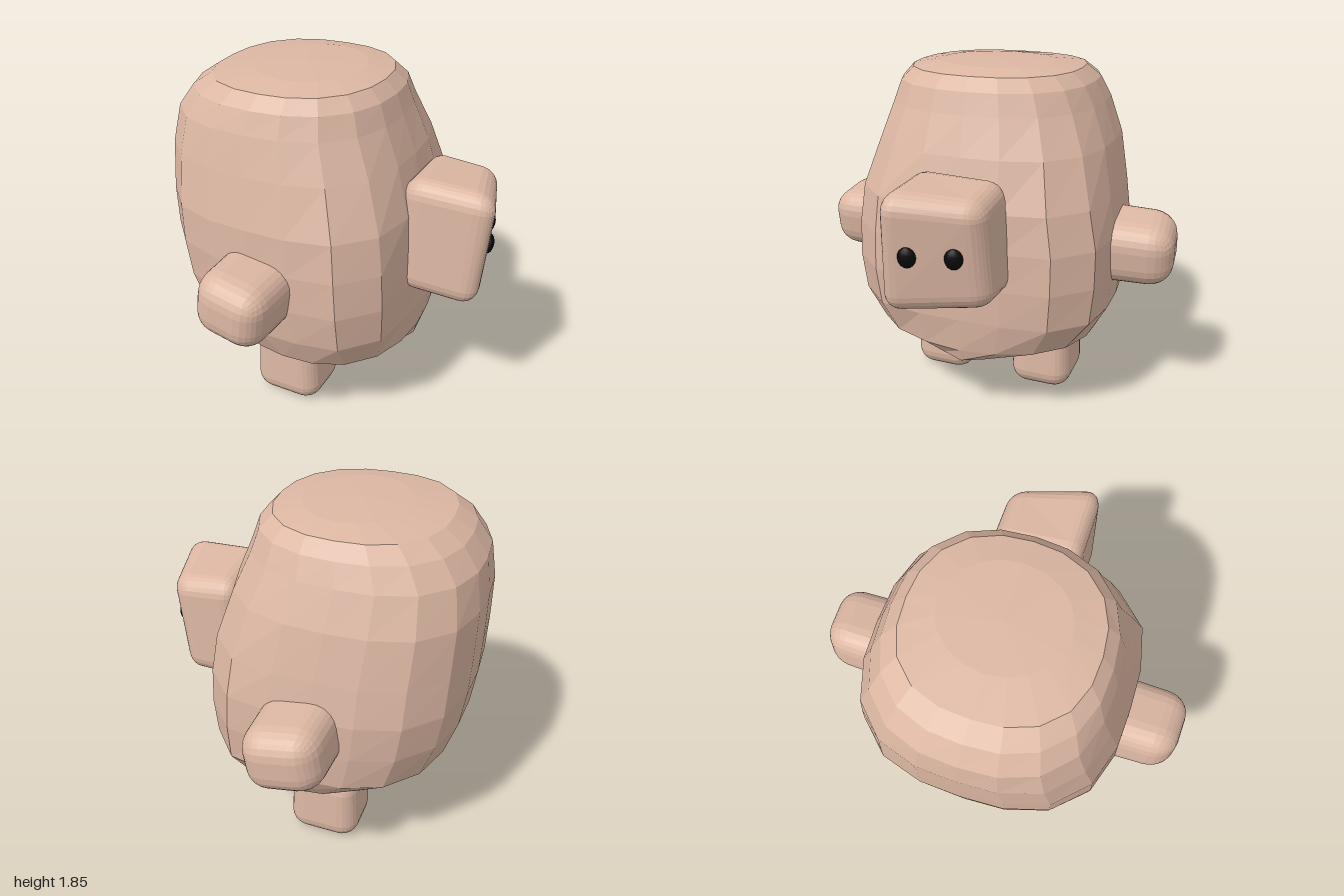
import * as THREE from 'three';
import { RoundedBoxGeometry } from 'three/addons/geometries/RoundedBoxGeometry.js';

const skin = new THREE.MeshStandardMaterial({ color: 0xdcb7a3, flatShading: true });
const black = new THREE.MeshStandardMaterial({ color: 0x0a0a0a });

// Move every vertex of a geometry by a rule
function bend(geometry, rule) {
  const p = geometry.attributes.position;
  const v = new THREE.Vector3();
  for (let i = 0; i < p.count; i++) {
    rule(v.fromBufferAttribute(p, i));
    p.setXYZ(i, v.x, v.y, v.z);
  }
  geometry.computeVertexNormals();
  return geometry;
}

function addMesh(parent, name, geometry, material, x = 0, y = 0, z = 0) {
  const mesh = new THREE.Mesh(geometry, material);
  mesh.name = name;
  mesh.position.set(x, y, z);
  parent.add(mesh);
  return mesh;
}

// Faceted loft through superellipse rings:
// [y, back x, front x, -z, +z, back power, front power, rise towards the sides]
function bodyGeometry() {
  const rings = [
    [0.34, -0.30, 0.43, -0.40, 0.40, 1.7, 1.5, 0.03],
    [0.41, -0.57, 0.45, -0.61, 0.62, 2.1, 2.5, 0.03],
    [0.60, -0.77, 0.47, -0.69, 0.68, 2.5, 3.8, 0],
    [0.80, -0.83, 0.475, -0.70, 0.70, 2.7, 4.2, 0],
    [1.00, -0.855, 0.47, -0.70, 0.70, 2.8, 4.0, 0],
    [1.20, -0.86, 0.46, -0.67, 0.69, 2.8, 3.4, 0],
    [1.45, -0.86, 0.395, -0.62, 0.63, 2.8, 2.8, 0],
    [1.64, -0.83, 0.325, -0.55, 0.58, 2.6, 2.5, 0],
    [1.75, -0.75, 0.29, -0.50, 0.54, 2.5, 2.4, 0],
    [1.815, -0.65, 0.23, -0.43, 0.48, 2.5, 2.3, 0],
    [1.84, -0.45, 0.10, -0.29, 0.33, 2, 2, 0],
  ];
  const sides = 20;
  const pos = [];
  const index = [];
  for (const [y, x0, x1, z0, z1, nBack, nFront, rise] of rings) {
    const cx = (x0 + x1) / 2, rx = (x1 - x0) / 2;
    const cz = (z0 + z1) / 2, rz = (z1 - z0) / 2;
    for (let i = 0; i < sides; i++) {
      const a = (i / sides) * Math.PI * 2;
      const c = Math.cos(a), s = Math.sin(a);
      const n = c > 0 ? nFront : nBack;
      const r = Math.pow(Math.abs(c) ** n + Math.abs(s) ** n, -1 / n);
      pos.push(cx + rx * r * c, y + rise * Math.abs(s), cz + rz * r * s);
    }
  }
  const bottom = pos.length / 3;
  pos.push(0.1, 0.32, 0, -0.2, 1.848, 0.02);
  const last = (rings.length - 1) * sides;
  for (let i = 0; i < sides; i++) {
    const j = (i + 1) % sides;
    for (let k = 0; k < last; k += sides) {
      index.push(k + i, k + sides + i, k + j, k + j, k + sides + i, k + sides + j);
    }
    index.push(bottom, i, j, bottom + 1, last + j, last + i);
  }
  const g = new THREE.BufferGeometry();
  g.setAttribute('position', new THREE.Float32BufferAttribute(pos, 3));
  g.setIndex(index);
  g.computeVertexNormals();
  return g;
}

export function createModel() {
  const model = new THREE.Group();
  model.name = 'creature';
  addMesh(model, 'body', bodyGeometry(), skin);

  // Wedge-shaped head, its face slanting to one side
  const head = new THREE.Group();
  head.name = 'head';
  model.add(head);
  const skull = bend(new RoundedBoxGeometry(0.4, 0.6, 0.52, 3, 0.09), (v) => {
    const front = (v.x + 0.2) / 0.4;
    const high = v.y / 0.3;
    v.z *= 1 - 0.1 * Math.max(0, high);
    v.x += front * (v.z * 0.28 + v.y * 0.1);
    v.y += 0.1 * v.z * high * (0.4 + 0.6 * front) - 0.03 * Math.max(0, high) * front ** 3;
  });
  addMesh(head, 'skull', skull, skin, 0.6, 1.085, -0.015);

  // Eyes
  for (const [name, x, z] of [['leftEye', 0.772, -0.12], ['rightEye', 0.83, 0.09]]) {
    const eye = addMesh(head, name, new THREE.SphereGeometry(1, 12, 8), black, x, 1.085, z);
    eye.scale.set(0.03, 0.054, 0.045);
    eye.rotation.set(0, 0.27, -0.1);
  }

  for (const side of [1, -1]) {
    const label = side > 0 ? 'left' : 'right';

    // Stubby arms, narrower at the tip
    const armShape = bend(new RoundedBoxGeometry(0.4, 0.35, 0.46, 3, 0.125), (v) => {
      const tip = 1 - 0.06 * Math.max(0, (side * v.z) / 0.23);
      v.x *= tip;
      v.y *= tip;
      v.z += side * 0.06 * v.x;
    });
    const arm = addMesh(model, label + 'Arm', armShape, skin,
      side > 0 ? -0.16 : -0.135, side > 0 ? 0.885 : 0.91, side * 0.765);
    arm.rotation.z = -0.15;

    // Stubby legs, rounded off towards the hip
    const legShape = bend(new RoundedBoxGeometry(0.39, 0.42, 0.35, 3, 0.1), (v) => {
      const t = 1 - 0.1 * Math.max(0, v.y / 0.21);
      v.x *= t;
      v.z *= t;
    });
    addMesh(model, label + 'Leg', legShape, skin, -0.16, 0.21, side * 0.3);
  }
  return model;
}
